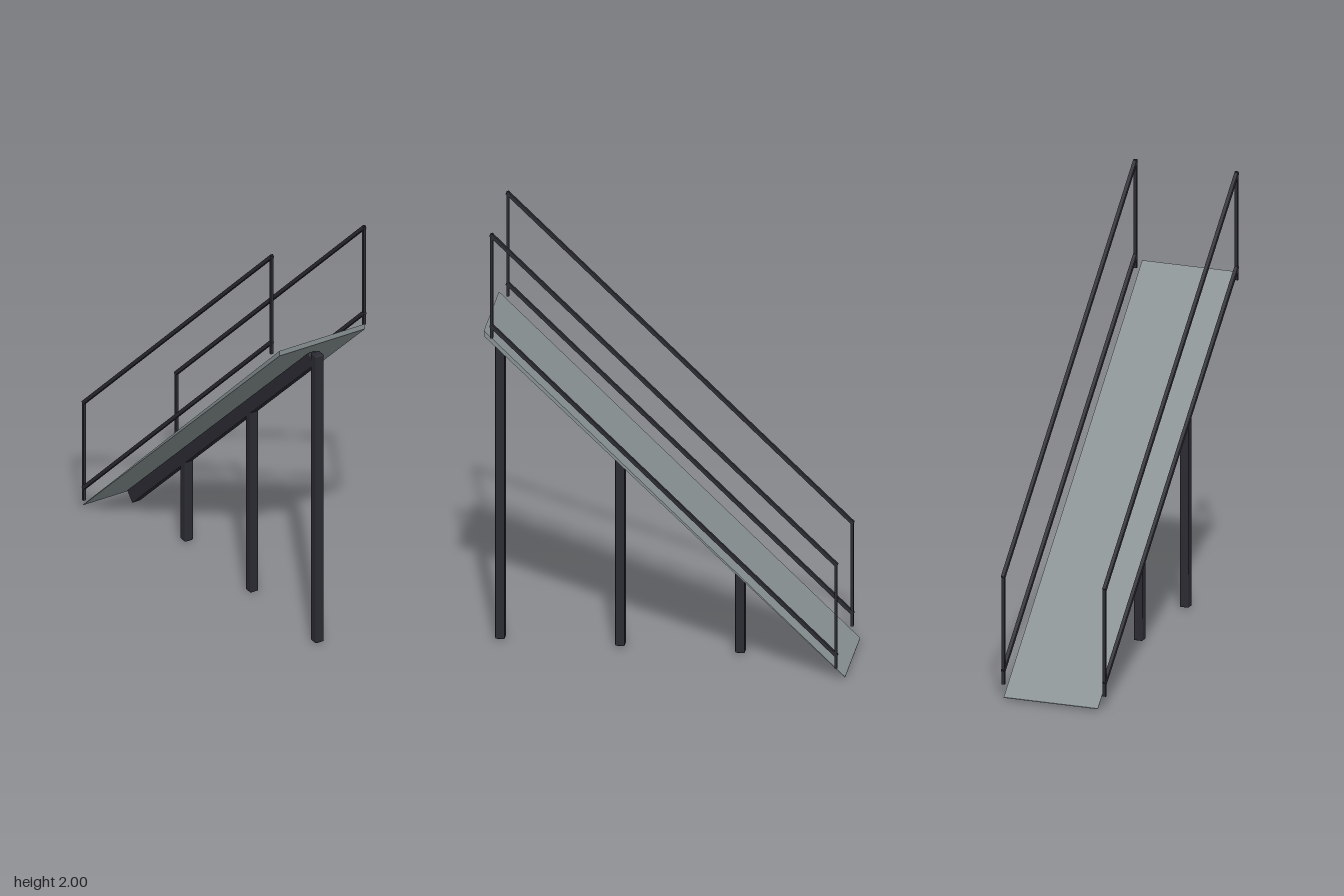
import * as THREE from 'three';
import { RoundedBoxGeometry } from 'three/addons/geometries/RoundedBoxGeometry.js';

export function createModel() {
  const group = new THREE.Group();
  const deckGrey = new THREE.MeshStandardMaterial({ color: 0x889193 });
  deckGrey.name = 'deck grey';
  const steel = new THREE.MeshStandardMaterial({ color: 0x2b2b33 });
  steel.name = 'dark steel';

  const add = (name, geometry, material) => {
    const mesh = new THREE.Mesh(geometry, material);
    mesh.name = name;
    group.add(mesh);
    return mesh;
  };

  // Bar lying in the y-z plane between two [z, y] points
  const bar = (name, x, [z0, y0], [z1, y1], width, depth, bevel) => {
    const length = Math.hypot(z1 - z0, y1 - y0);
    const geometry = bevel
      ? new RoundedBoxGeometry(width, depth, length, 1, bevel)
      : new THREE.BoxGeometry(width, depth, length);
    const mesh = add(name, geometry, steel);
    mesh.position.set(x, (y0 + y1) / 2, (z0 + z1) / 2);
    mesh.rotation.x = -Math.atan2(y1 - y0, z1 - z0);
    return mesh;
  };

  // Sloping deck, a thin wedge that is thicker at its upper end
  const profile = new THREE.Shape([
    [-0.79, 0], [0.79, 1.505], [0.79, 1.53], [-0.79, 0.003],
  ].map(([z, y]) => new THREE.Vector2(z, y)));
  const deck = new THREE.ExtrudeGeometry(profile, { depth: 0.44, bevelEnabled: false });
  deck.rotateY(-Math.PI / 2).translate(0.22, 0, 0);
  add('deck', deck, deckGrey);

  // Central beam under the deck
  bar('beam', 0, [-0.727, 0.012], [0.727, 1.397], 0.042, 0.06, 0.004);

  // Support posts
  for (const [z, top] of [[0.75, 1.43], [0.225, 0.92], [-0.3, 0.41]]) {
    add('supportPost', new RoundedBoxGeometry(0.042, top, 0.042, 1, 0.005), steel)
      .position.set(0, top / 2, z);
  }

  // Handrails on both sides
  for (const [side, x] of [['left', 0.237], ['right', -0.237]]) {
    bar(side + 'TopRail', x, [-0.757, 0.533], [0.757, 1.991], 0.016, 0.016);
    bar(side + 'LowerRail', x, [-0.757, 0.108], [0.757, 1.566], 0.016, 0.016);
    for (const [z, y0, y1] of [[0.753, 1.505, 1.995], [-0.753, 0.05, 0.54]]) {
      add(side + 'RailPost', new THREE.BoxGeometry(0.014, y1 - y0, 0.012), steel)
        .position.set(x, (y0 + y1) / 2, z);
    }
  }
  return group;
}
